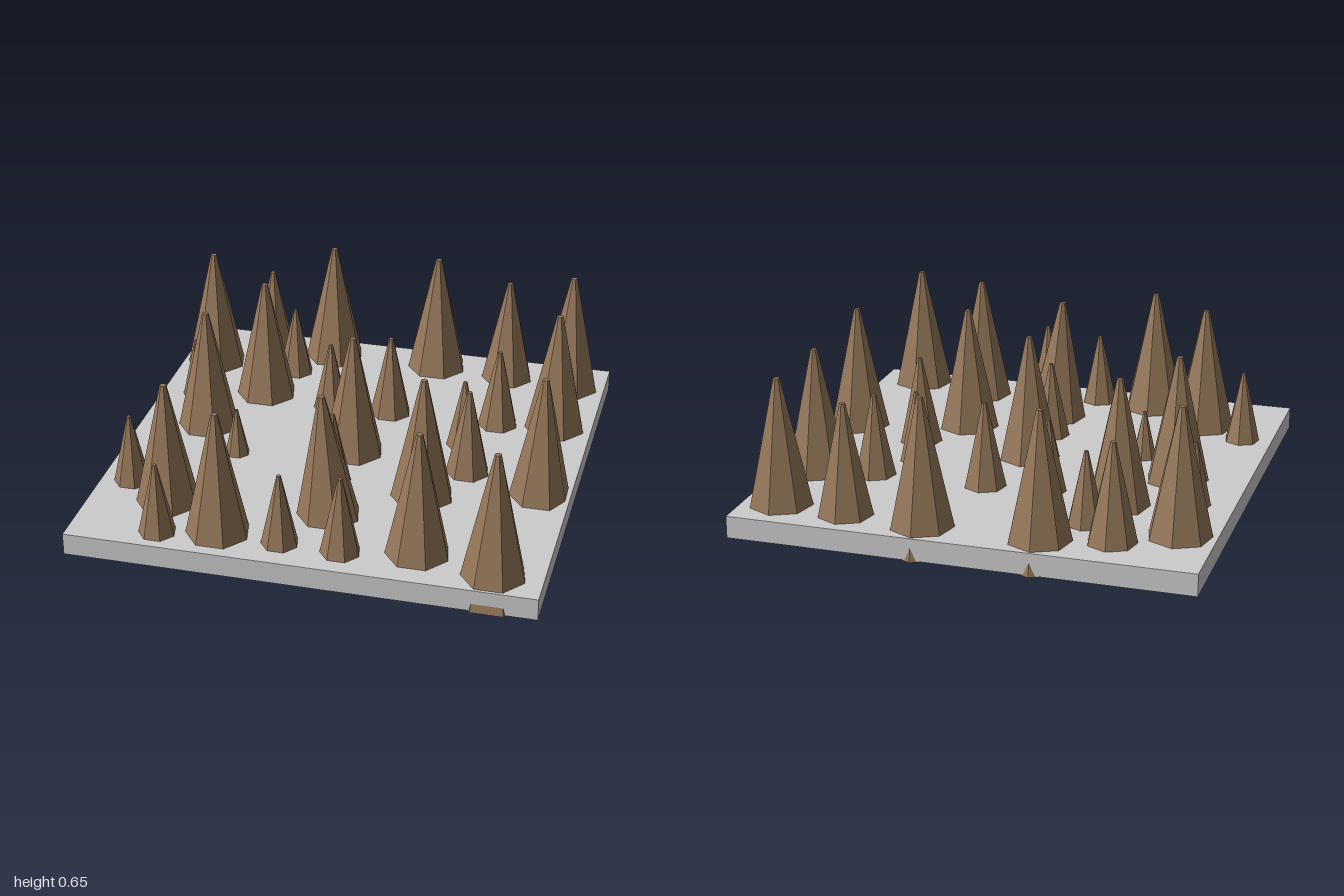
import * as THREE from 'three';

const SIDES = 7;
const FULL_HEIGHT = 0.655; // tallest spike
const BASE_RADIUS = 0.158;
const TIP_RADIUS = 0.014;
const EDGE = 0.995; // half width of the slab

// Spikes as [x, z, height, sideways lean of the tip]
const SPIKES = [
  // full size
  [-0.84, -0.65], [-0.31, -0.85], [0.19, -0.85], [0.83, -0.8],
  [-0.52, -0.4], [0.83, -0.4], [-0.69, -0.05], [0, 0.03],
  [0.38, 0.33], [0.867, 0.2], [0.037, 0.57, FULL_HEIGHT, -0.034], [-0.655, 0.633],
  [-0.376, 0.82], [0.46, 0.777], [0.79, 0.86],
  // smaller
  [-0.595, -0.79, 0.53], [-0.445, -0.64, 0.42], [0.533, -0.825, 0.585],
  [-0.825, -0.31, 0.38], [-0.195, -0.335, 0.42], [0.08, -0.355, 0.475],
  [0.575, -0.365, 0.465], [0.463, -0.145, 0.413], [0.527, 0.085, 0.49],
  [-0.49, 0.17, 0.315], [-0.015, 0.325, 0.44], [-0.86, 0.51, 0.415],
  [-0.62, 0.88, 0.42], [-0.105, 0.84, 0.42], [0.152, 0.845, 0.445],
];

// Seven-sided blunt spike standing on y = 0, one corner toward the back
function makeSpike([x, z, height = FULL_HEIGHT, lean = 0], material) {
  const scale = height / FULL_HEIGHT;
  const geometry = new THREE.CylinderGeometry(
    TIP_RADIUS * scale, BASE_RADIUS * scale, height, SIDES);
  geometry.rotateY(Math.PI);
  geometry.translate(x, height / 2, z);

  // Lean the tip and keep the foot inside the sides of the slab
  const p = geometry.attributes.position;
  for (let i = 0; i < p.count; i++) {
    const px = p.getX(i) + lean * p.getY(i) / height;
    p.setX(i, THREE.MathUtils.clamp(px, -EDGE, EDGE));
  }
  geometry.computeVertexNormals();

  const mesh = new THREE.Mesh(geometry, material);
  mesh.name = 'spike';
  return mesh;
}

export function createModel() {
  const model = new THREE.Group();
  model.name = 'spikeTrap';

  const stone = new THREE.MeshStandardMaterial({ color: 0xcccccc, flatShading: true });
  const wood = new THREE.MeshStandardMaterial({ color: 0x96785a, flatShading: true });

  // Base slab, its underside just above the feet of the spikes
  const bottom = 0.004;
  const top = 0.1;
  const slab = new THREE.Mesh(
    new THREE.BoxGeometry(2 * EDGE, top - bottom, 2 * EDGE), stone);
  slab.position.y = (top + bottom) / 2;
  slab.name = 'baseSlab';
  model.add(slab);

  // Field of wooden spikes passing through the slab
  const spikes = new THREE.Group();
  spikes.name = 'spikes';
  for (const spec of SPIKES) spikes.add(makeSpike(spec, wood));
  model.add(spikes);

  return model;
}
